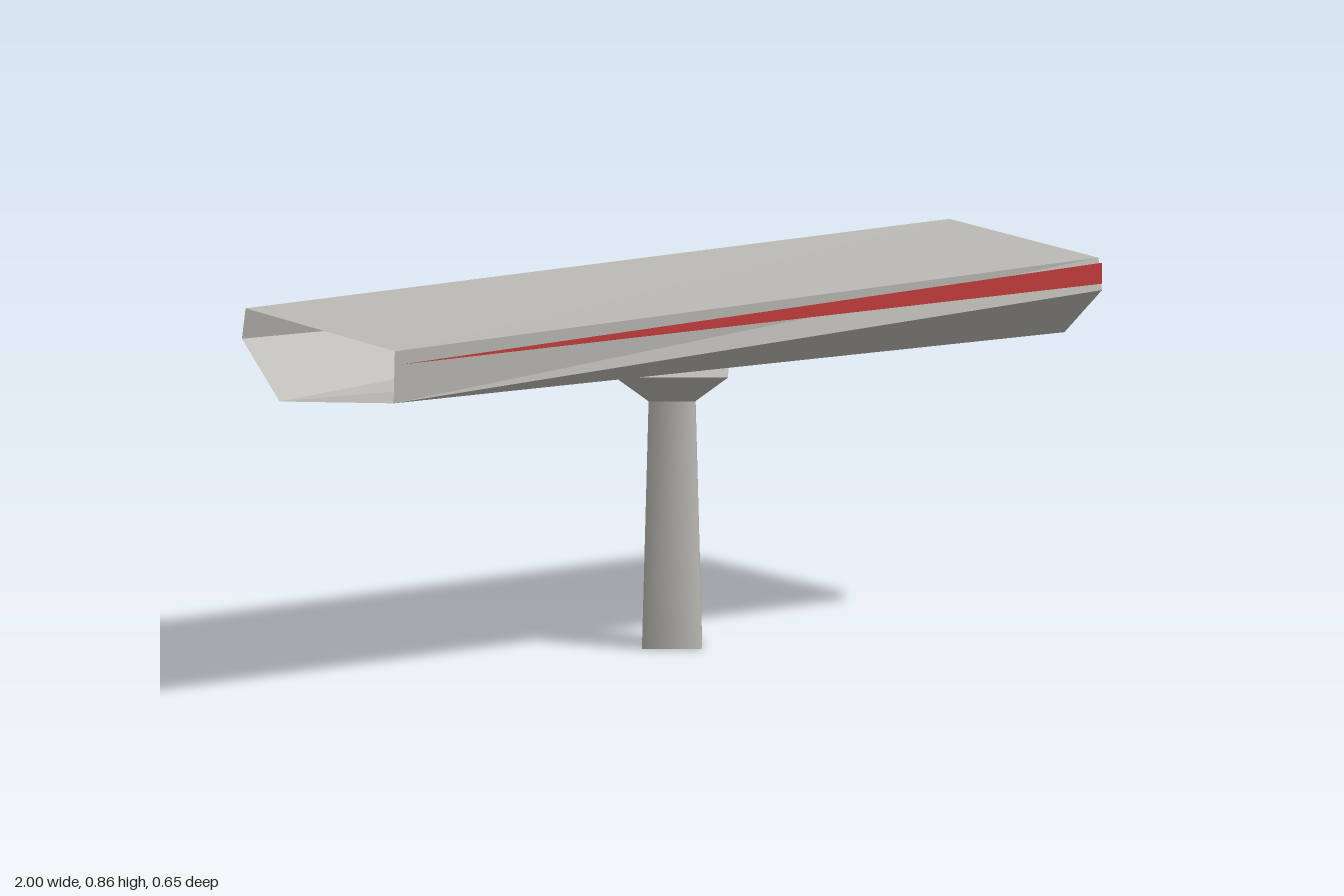
import * as THREE from 'three';

const grey = new THREE.MeshStandardMaterial({ color: 0xbcbab4, side: THREE.DoubleSide });
grey.name = 'warm grey';
const red = new THREE.MeshStandardMaterial({ color: 0xc43c3c, side: THREE.DoubleSide });
red.name = 'stripe red';

// Faceted surface from triangles of [x, y, z] corners
function facets(name, triangles, material) {
  const g = new THREE.BufferGeometry();
  g.setAttribute('position', new THREE.Float32BufferAttribute(triangles.flat(2), 3));
  g.computeVertexNormals();
  const mesh = new THREE.Mesh(g, material);
  mesh.name = name;
  return mesh;
}

// Four-sided smooth taper, turned a little about y
function taper(name, rTop, rBottom, y0, y1) {
  const g = new THREE.CylinderGeometry(rTop, rBottom, y1 - y0, 4, 1, false, THREE.MathUtils.degToRad(10));
  g.translate(0, (y0 + y1) / 2, 0);
  const mesh = new THREE.Mesh(g, grey);
  mesh.name = name;
  return mesh;
}

export function createModel() {
  const model = new THREE.Group();
  model.name = 'signStand';

  // Open-ended sleeve: the +x end section, and the same section turned half round for -x
  const section = [[0.86, 0.31], [0.785, 0.325], [0.66, 0.17], [0.73, -0.3], [0.855, -0.305]];
  const P = section.map(([y, z]) => [1, y, z]);
  const N = section.map(([y, z]) => [-1, y, -z]).reverse();
  const tris = [];
  for (let i = 0; i < 5; i++) {
    const j = (i + 1) % 5;
    if (i === 1 || i === 2) tris.push([N[i], N[j], P[j]], [N[i], P[j], P[i]]);
    else tris.push([N[i], N[j], P[i]], [N[j], P[j], P[i]]);
  }
  model.add(facets('sleeve', tris, grey));

  // Tapering stripes on both long sides
  for (const s of [1, -1]) {
    const z = 0.324 * s;
    const corners = [[-1, 0.826, z], [1, 0.8, z], [1, 0.85, z]];
    if (s < 0) corners.reverse();
    model.add(facets(s > 0 ? 'frontStripe' : 'backStripe', [corners], red));
  }

  // Post and flared bracket
  model.add(taper('post', 0.077, 0.099, 0, 0.59));
  model.add(taper('bracket', 0.187, 0.077, 0.588, 0.66));
  return model;
}
